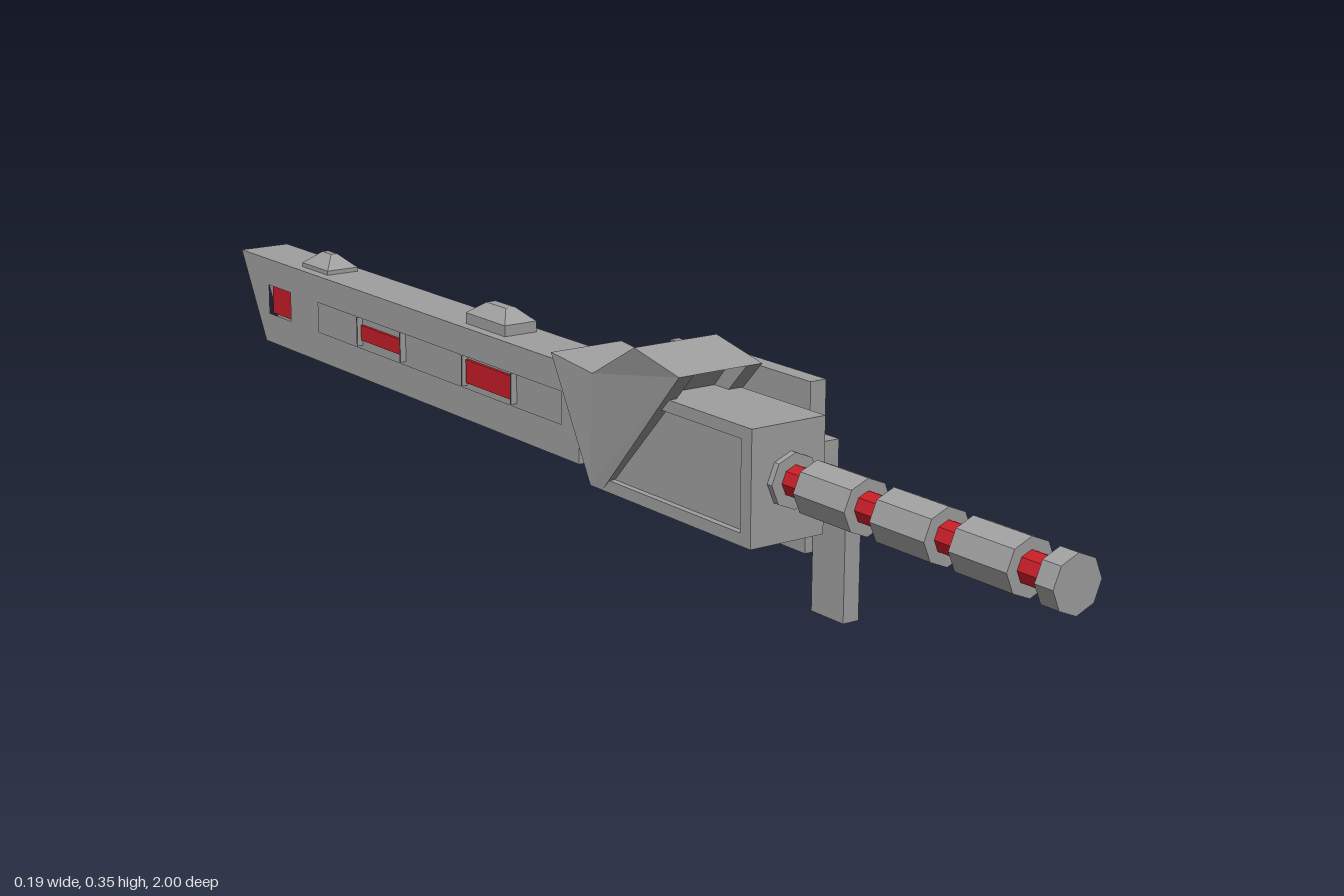
import * as THREE from 'three';

export function createModel() {
  const root = new THREE.Group();
  const gray = new THREE.MeshStandardMaterial({ color: 0xa0a0a0 });
  gray.name = 'steel gray';
  const red = new THREE.MeshStandardMaterial({ color: 0xc81e28 });
  red.name = 'accent red';

  const add = (name, geo, mat, parent = root) => {
    const m = new THREE.Mesh(geo, mat);
    m.name = name;
    parent.add(m);
    return m;
  };
  const group = (name) => {
    const g = new THREE.Group();
    g.name = name;
    root.add(g);
    return g;
  };
  const box = (name, mat, x0, x1, y0, y1, z0, z1, parent) => {
    const g = new THREE.BoxGeometry(x1 - x0, y1 - y0, z1 - z0);
    g.translate((x0 + x1) / 2, (y0 + y1) / 2, (z0 + z1) / 2);
    return add(name, g, mat, parent);
  };
  // Side profile given as [z, y], extruded from x0 to x1; holes are [z0, z1, y0, y1]
  const profile = (pts, x0, x1, holes = []) => {
    const s = new THREE.Shape(pts.map(([z, y]) => new THREE.Vector2(-z, y)));
    for (const [a, b, c, d] of holes) {
      s.holes.push(new THREE.Path([[a, c], [b, c], [b, d], [a, d]].map(([z, y]) => new THREE.Vector2(-z, y))));
    }
    const g = new THREE.ExtrudeGeometry(s, { depth: x1 - x0, bevelEnabled: false });
    g.rotateY(Math.PI / 2);
    g.translate(x0, 0, 0);
    return g;
  };

  // Handle: octagonal grips alternating with a thin red rod
  const handle = group('handle');
  const rod = (name, mat, r, z0, z1) => {
    const g = new THREE.CylinderGeometry(r, r, z1 - z0, 8).toNonIndexed();
    g.computeVertexNormals();
    g.rotateX(Math.PI / 2);
    g.translate(-0.018, 0.21, (z0 + z1) / 2);
    add(name, g, mat, handle);
  };
  rod('handleCore', red, 0.023, 0.45, 0.98);
  for (const [a, b] of [[0.45, 0.465], [0.51, 0.615], [0.665, 0.77], [0.815, 0.92], [0.968, 1]]) {
    rod('grip', gray, 0.04, a, b);
  }

  // Receiver body, with a framed recess on its right side
  const body = group('body');
  box('bodyBlock', gray, -0.075, 0.04, 0.123, 0.29, 0.1, 0.455, body);
  box('topRail', gray, -0.085, -0.075, 0.272, 0.29, 0.15, 0.455, body);
  box('bottomRail', gray, -0.085, -0.075, 0.123, 0.141, 0.1, 0.455, body);
  box('frontRail', gray, -0.085, -0.075, 0.141, 0.272, 0.432, 0.455, body);

  // Collar: two cheeks flaring at the top, with a recessed middle
  const collar = group('collar');
  const back = [[0.205, 0.353], [0.085, 0.29], [-0.02, 0.3], [0.08, 0.123]];
  const cheek = [...back, [0.11, 0.123], [0.31, 0.332]];
  const middle = [...back, [0.09, 0.123], [0.265, 0.322], [0.31, 0.332]];
  const flare = (g) => {
    const p = g.attributes.position;
    for (let i = 0; i < p.count; i++) {
      if (p.getY(i) < 0.31) continue;
      if (p.getX(i) < -0.08) p.setX(i, -0.098);
      if (p.getX(i) > 0.03) p.setX(i, 0.045);
    }
    g.computeVertexNormals();
    return g;
  };
  add('rightCheek', flare(profile(cheek, -0.085, -0.072)), gray, collar);
  add('leftCheek', flare(profile(cheek, 0.018, 0.04)), gray, collar);
  add('collarMiddle', profile(middle, -0.072, 0.018), gray, collar);

  // Side box with a long slot, upper fin and hanging lever
  const side = group('sideBox');
  box('boxBack', gray, 0.04, 0.06, 0.085, 0.24, 0.128, 0.417, side);
  const rect = [[0.128, 0.085], [0.417, 0.085], [0.417, 0.24], [0.128, 0.24]];
  add('boxFace', profile(rect, 0.06, 0.096, [[0.155, 0.4, 0.19, 0.234]]), gray, side);
  box('fin', gray, 0.054, 0.081, 0.24, 0.324, 0.128, 0.405, side);
  box('finNib', gray, 0.06, 0.075, 0.25, 0.318, 0.075, 0.128, side);
  box('lever', gray, 0.053, 0.08, 0, 0.147, 0.417, 0.486, side);

  // Blade: hollow shell with windows on both sides and a slanted open end
  const blade = group('blade');
  const L = -0.07, R = 0.018, T = 0.012;
  const outline = [[0.03, 0.14], [0.03, 0.285], [-1, 0.285], [-0.92, 0.14]];
  const windows = [[-0.15, -0.015, 0.19, 0.24], [-0.288, -0.153, 0.19, 0.24], [-0.472, -0.291, 0.19, 0.24],
    [-0.607, -0.475, 0.19, 0.24], [-0.735, -0.61, 0.19, 0.24], [-0.905, -0.83, 0.19, 0.24]];
  add('bladeWall', profile(outline, L, L + T, windows), gray, blade);
  add('bladeWall', profile(outline, R - T, R, windows), gray, blade);
  add('bladeTop', profile([[0.03, 0.272], [0.03, 0.285], [-1, 0.285], [-0.993, 0.272]], L + T, R - T), gray, blade);
  add('bladeBottom', profile([[0.03, 0.14], [0.03, 0.153], [-0.927, 0.153], [-0.92, 0.14]], L + T, R - T), gray, blade);
  add('bladeCore', profile([[0.02, 0.15], [0.02, 0.275], [-0.95, 0.275], [-0.88, 0.15]], L + T, R - T), gray, blade);
  for (const [a, b, c, d] of [[-0.288, -0.153, 0.195, 0.232], [-0.607, -0.475, 0.2, 0.225], [-0.905, -0.83, 0.19, 0.24]]) {
    box('redInset', red, L + T - 0.005, R - T + 0.005, c, d, a, b, blade);
  }

  // Sights on the blade's top: low base with a tapered cap
  for (const [z, len, baseTop, top, tx, tz] of [[-0.247, 0.11, 0.302, 0.321, 0.3, 0.5], [-0.773, 0.085, 0.292, 0.313, 0.2, 0.35]]) {
    const sight = group('sight');
    box('sightBase', gray, -0.053, 0.004, 0.28, baseTop, z - len / 2, z + len / 2, sight);
    const h = top - baseTop;
    const g = new THREE.BoxGeometry(0.057, h, len).toNonIndexed();
    const p = g.attributes.position;
    for (let i = 0; i < p.count; i++) {
      if (p.getY(i) > 0) p.setXYZ(i, p.getX(i) * tx, p.getY(i), p.getZ(i) * tz);
    }
    g.computeVertexNormals();
    g.translate(-0.0245, baseTop + h / 2, z);
    add('sightCap', g, gray, sight);
  }
  return root;
}
